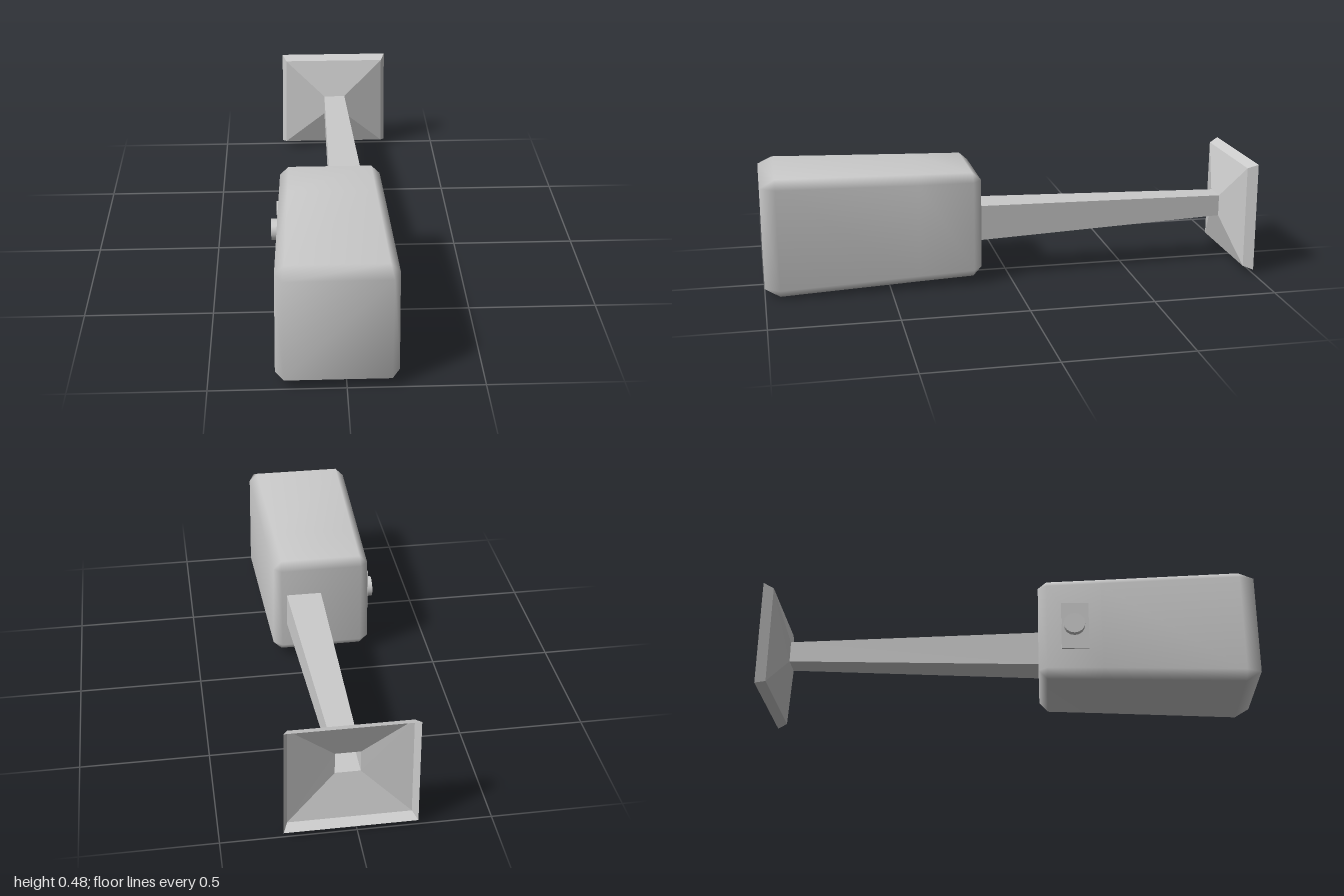
import * as THREE from 'three';
import { mergeVertices } from 'three/addons/utils/BufferGeometryUtils.js';

// Cross-section at depth z: a rectangle with cut corners, slightly wider at its base.
// Counter-clockwise as seen from +z; c = 0 gives four doubled corners.
function section(z, x0, x1, y0, y1, c = 0, flare = 0) {
  const ring = [
    [x0 + c, y0], [x1 - c, y0], [x1, y0 + c], [x1, y1 - c],
    [x1 - c, y1], [x0 + c, y1], [x0, y1 - c], [x0, y0 + c],
  ];
  const mid = (x0 + x1) / 2, yMid = (y0 + y1) / 2;
  return ring.map(([x, y]) => [x + Math.sign(x - mid) * flare * Math.sign(yMid - y), y, z]);
}

// Skins sections ordered from low z to high z, optionally closing both ends.
function loft(sections, capped) {
  const n = sections[0].length;
  const index = [];
  for (let s = 0; s < sections.length - 1; s++) {
    for (let i = 0; i < n; i++) {
      const j = (i + 1) % n;
      const a = s * n + i, b = s * n + j;
      index.push(a, b, b + n, a, b + n, a + n);
    }
  }
  if (capped) {
    const last = (sections.length - 1) * n;
    for (let i = 1; i < n - 1; i++) {
      index.push(0, i + 1, i);
      index.push(last, last + i, last + i + 1);
    }
  }
  const geometry = new THREE.BufferGeometry();
  geometry.setAttribute('position', new THREE.Float32BufferAttribute(sections.flat(2), 3));
  geometry.setIndex(index);
  const merged = mergeVertices(geometry, 1e-5);
  merged.computeVertexNormals();
  return merged;
}

export function createModel() {
  const group = new THREE.Group();
  const smooth = new THREE.MeshStandardMaterial({ color: 0xcccccc });
  const flat = new THREE.MeshStandardMaterial({ color: 0xcccccc, flatShading: true });
  const thin = new THREE.MeshStandardMaterial({
    color: 0xcccccc, flatShading: true, side: THREE.DoubleSide,
  });
  const add = (name, geometry, material) => {
    const mesh = new THREE.Mesh(geometry, material);
    mesh.name = name;
    group.add(mesh);
    return mesh;
  };

  // Tapered, bevelled housing
  add('housing', loft([
    section(0.125, -0.2, 0.135, 0.065, 0.43),
    section(0.16, -0.235, 0.168, 0.027, 0.461, 0.034, 0.003),
    section(0.38, -0.241, 0.175, 0.02, 0.466, 0.035, 0.003),
    section(0.94, -0.255, 0.19, 0, 0.48, 0.035, 0.003),
    section(1, -0.225, 0.162, 0.038, 0.45),
  ], true), smooth);

  // Hollow square neck, narrowing toward the bell
  add('neck', loft([
    section(-0.91, -0.025, 0.07, 0.2, 0.288),
    section(0.13, -0.03, 0.115, 0.17, 0.315),
  ]), thin);

  // Open square bell: rim, lip and funnel as a single skin
  add('bell', loft([
    section(-1, -0.223, 0.265, 0.017, 0.467, 0, 0.003),
    section(-0.96, -0.206, 0.248, 0.031, 0.45, 0, 0.003),
    section(-0.91, -0.025, 0.07, 0.2, 0.288),
  ]), thin);

  // Control plate with a round knob on the side of the housing
  const plate = add('controlPlate', new THREE.BoxGeometry(0.02, 0.2, 0.11), flat);
  plate.position.set(-0.237, 0.24, 0.273);
  plate.rotation.y = 0.02;

  const knob = add('knob', new THREE.CylinderGeometry(0.043, 0.043, 0.035, 16), smooth);
  knob.position.set(-0.253, 0.24, 0.27);
  knob.rotation.z = Math.PI / 2;

  return group;
}
